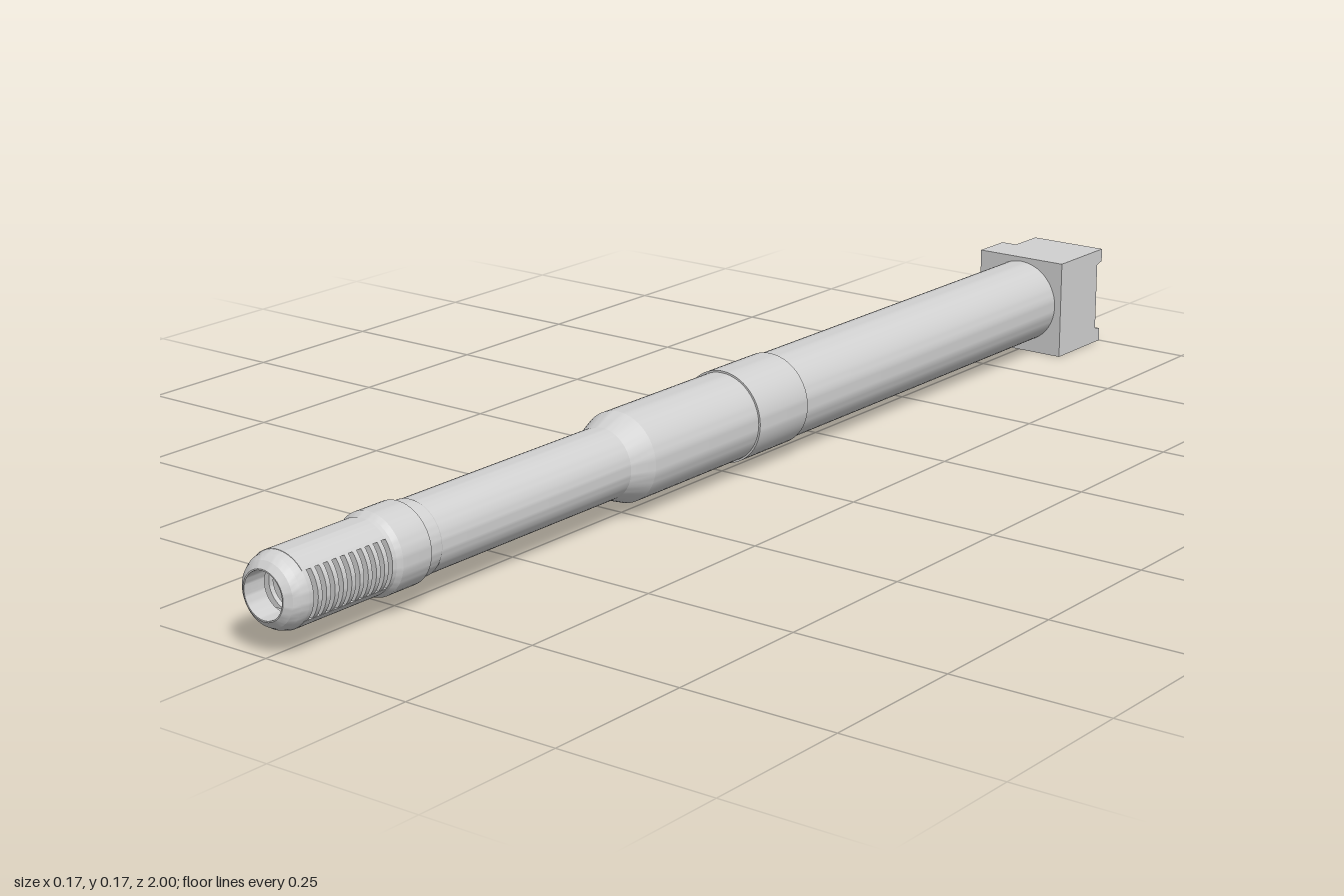
import * as THREE from 'three';
import { toCreasedNormals } from 'three/addons/utils/BufferGeometryUtils.js';

const CY = 0.0885; // height of the tube axis

export function createModel() {
  const model = new THREE.Group();
  const steel = new THREE.MeshStandardMaterial({ color: 0xd0d0d0 });
  steel.name = 'light grey steel';

  const add = (name, geo, y = 0, z = 0) => {
    const mesh = new THREE.Mesh(toCreasedNormals(geo, 0.3), steel);
    mesh.name = name;
    mesh.position.set(0, y, z);
    model.add(mesh);
  };
  // turned part along z, from [radius, z] pairs
  const turned = (name, pairs) => add(name, new THREE.LatheGeometry(
    pairs.map(([r, z]) => new THREE.Vector2(r, z)), 64).rotateX(Math.PI / 2), CY);
  const extrude = (shape, depth) =>
    new THREE.ExtrudeGeometry(shape, { depth, bevelEnabled: false, curveSegments: 32 });

  // stepped main tube, closed at the bore floor
  turned('tube', [
    [0, -0.87], [0.071, -0.87], [0.071, 0.255], [0.056, 0.295], [0.056, 0.71],
    [0.057, 0.712], [0.057, 0.738], [0.062, 0.738], [0.062, 0.795],
    [0.057, 0.803], [0.056, 0.81], [0, 0.81],
  ]);
  // raised band in the middle
  turned('middleBand', [[0.069, -0.125], [0.074, -0.125], [0.074, 0], [0.069, 0]]);

  // slotted nose: rings with open side slots, joined by strips above and below
  const R = 0.056, BORE = 0.035, SLOTS = 10, START = 0.81, END = 0.97;
  const pitch = (END - START) / SLOTS, gap = pitch * 0.5;
  const ring = new THREE.Shape().absarc(0, 0, R, 0, Math.PI * 2, false);
  ring.holes.push(new THREE.Path().absarc(0, 0, BORE, 0, Math.PI * 2, true));
  for (let i = 0; i < SLOTS; i++) {
    add('noseRing', extrude(ring, pitch - gap), CY, START + i * pitch + gap);
  }
  const a = Math.asin(BORE / R);
  for (const side of [0, Math.PI]) {
    const strip = new THREE.Shape().absarc(0, 0, R + 0.0006, a + side, Math.PI - a + side, false);
    add('noseStrip', extrude(strip, END - START), CY, START);
  }
  turned('noseTip', [
    [BORE, END], [R, END], [0.053, 0.982], [0.047, 0.992], [0.037, 1], [BORE, 1], [BORE, END],
  ]);

  // rear block with a shallow channel across its back face
  const profile = new THREE.Shape([
    [0.865, 0], [1, 0], [1, 0.022], [0.985, 0.026], [0.985, 0.141],
    [1, 0.145], [1, 0.167], [0.865, 0.167],
  ].map(([x, y]) => new THREE.Vector2(x, y)));
  add('rearBlock', extrude(profile, 0.138).rotateY(Math.PI / 2).translate(-0.055, 0, 0));
  add('rearBlockSide', new THREE.BoxGeometry(0.028, 0.167, 0.07).translate(-0.069, 0.0835, -0.9));

  // two pierced lugs in the cut corner, with a pin through them
  const lug = new THREE.Shape();
  lug.moveTo(-0.055, 0.934).lineTo(-0.055, 0.974).lineTo(-0.074, 0.974);
  lug.quadraticCurveTo(-0.083, 0.974, -0.083, 0.965).lineTo(-0.083, 0.934);
  lug.holes.push(new THREE.Path().absarc(-0.07, 0.956, 0.006, 0, Math.PI * 2, true));
  for (const y of [0.03, 0.11]) {
    add('cornerLug', extrude(lug, 0.032).rotateX(-Math.PI / 2), y);
  }
  add('lugPin', new THREE.CylinderGeometry(0.006, 0.006, 0.108, 24).translate(-0.07, 0.086, -0.956));
  return model;
}
